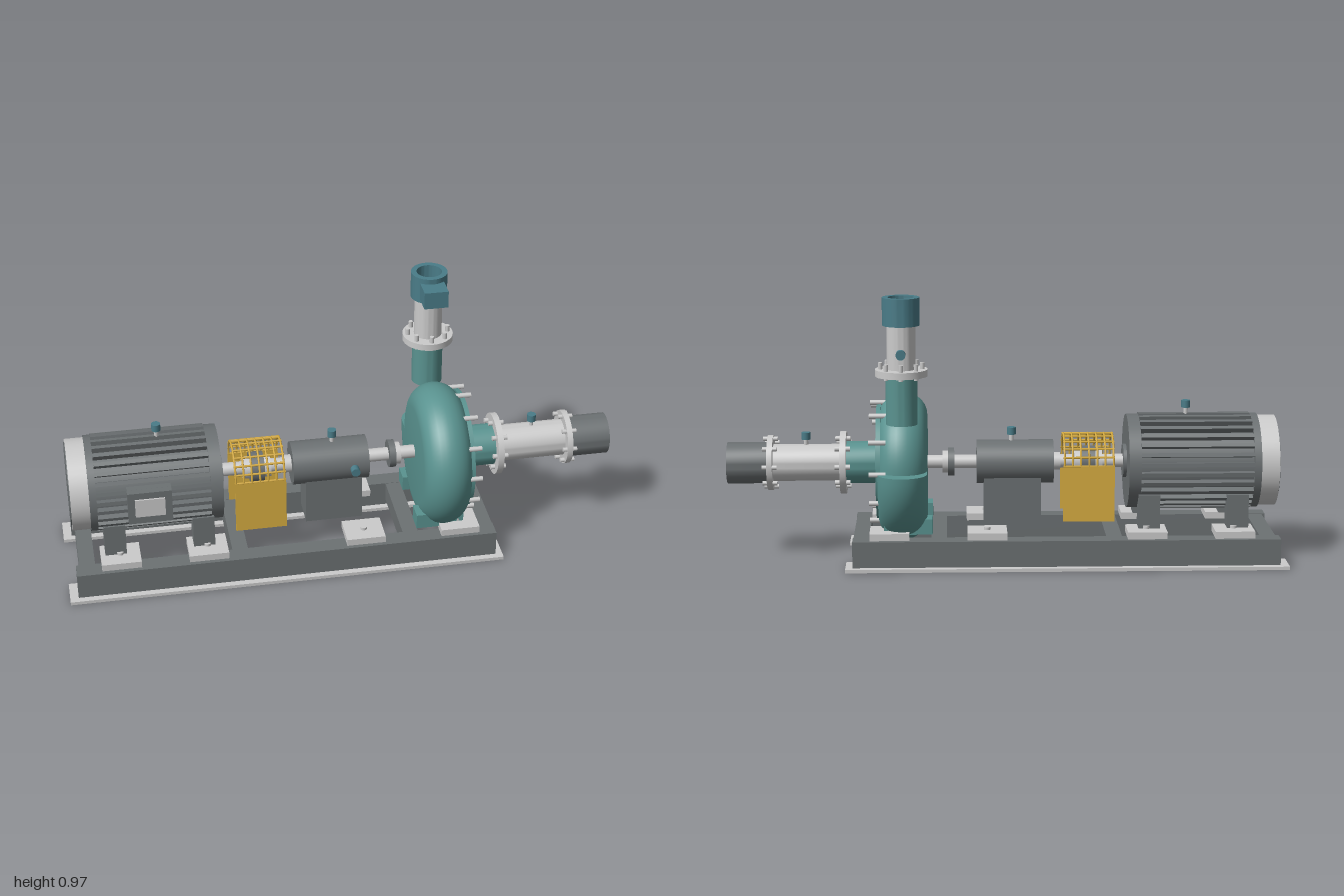
import * as THREE from 'three';
import { toCreasedNormals } from 'three/addons/utils/BufferGeometryUtils.js';

const AY = 0.345, AZ = 0.022; // height and depth of the shaft axis
const mat = (color) => new THREE.MeshStandardMaterial({ color });

export function createModel() {
  const root = new THREE.Group();
  const light = mat(0xcccccc), dark = mat(0x6c7173), teal = mat(0x5a9390),
    blue = mat(0x4a7c88), yellow = mat(0xd9ae42);

  const add = (name, geo, m, x = 0, y = 0, z = 0) => {
    const mesh = new THREE.Mesh(geo, m);
    mesh.name = name;
    mesh.position.set(x, y, z);
    root.add(mesh);
    return mesh;
  };
  // box from its extents
  const box = (name, m, x0, x1, y0, y1, z0, z1) =>
    add(name, new THREE.BoxGeometry(x1 - x0, y1 - y0, z1 - z0), m,
      (x0 + x1) / 2, (y0 + y1) / 2, (z0 + z1) / 2);
  const cylX = (name, m, r, x0, x1, y = AY, z = AZ, seg = 40) => {
    const c = add(name, new THREE.CylinderGeometry(r, r, x1 - x0, seg), m, (x0 + x1) / 2, y, z);
    c.rotation.z = -Math.PI / 2;
    return c;
  };
  const cylY = (name, m, r, y0, y1, x, z, seg = 24) =>
    add(name, new THREE.CylinderGeometry(r, r, y1 - y0, seg), m, x, (y0 + y1) / 2, z);
  // hollow pipe, starting at the given point
  const tube = (ro, ri, len) => toCreasedNormals(new THREE.LatheGeometry(
    [[ro, 0], [ro, len], [ri, len], [ri, 0], [ro, 0]].map((p) => new THREE.Vector2(...p)), 48), 0.6);
  const pipeX = (name, m, ro, ri, x0, x1) => {
    add(name, tube(ro, ri, x1 - x0), m, x0, AY, AZ).rotation.z = -Math.PI / 2;
  };
  const pipeY = (name, m, ro, ri, y0, y1, x, z) => add(name, tube(ro, ri, y1 - y0), m, x, y0, z);
  // bolts on a circle about the shaft axis
  const boltsX = (name, n, R, r, x0, x1) => {
    for (let i = 0; i < n; i++) {
      const a = (i / n) * Math.PI * 2;
      cylX(name, light, r, x0, x1, AY + R * Math.sin(a), AZ + R * Math.cos(a), 10);
    }
  };
  const plug = (name, x, y, z) => {
    cylY(name + 'Stem', light, 0.008, y, y + 0.03, x, z, 12);
    cylY(name + 'Cap', blue, 0.016, y + 0.024, y + 0.05, x, z, 16);
  };

  // base frame: rails on sole strips with cross members
  for (const zc of [0.2125, -0.17]) {
    box('baseRail', dark, -0.97, 0.54, 0.011, 0.105, zc - 0.0325, zc + 0.0325);
    box('soleStrip', light, -1, 0.565, 0, 0.012, zc - 0.0555, zc + 0.0555);
  }
  for (const x of [-0.93, -0.385, 0.235, 0.51])
    box('crossMember', dark, x - 0.028, x + 0.028, 0.035, 0.104, -0.15, 0.19);

  // mounting pads with bolts
  for (const x of [-0.81, -0.5, 0.065, 0.41]) for (const s of [-1, 1]) {
    const z = AZ + s * 0.148;
    box('mountingPad', light, x - 0.07, x + 0.07, 0.105, 0.13, z - 0.06, z + 0.06);
    cylY('padBolt', light, 0.012, 0.13, 0.14, x, z, 12);
  }

  // motor
  cylX('motorBody', dark, 0.152, -0.89, -0.47);
  const fins = 30;
  for (let i = 0; i < fins; i++) {
    const a = (i / fins) * Math.PI * 2;
    const fin = add('coolingFin', new THREE.BoxGeometry(0.4, 0.03, 0.014), dark,
      -0.68, AY + 0.158 * Math.cos(a), AZ + 0.158 * Math.sin(a));
    fin.rotation.x = a;
  }
  cylX('motorFanCover', light, 0.163, -0.97, -0.9);
  cylX('motorEndDisc', dark, 0.152, -0.973, -0.96);
  cylX('motorRearRing', dark, 0.17, -0.905, -0.88);
  cylX('motorFrontBell', dark, 0.168, -0.48, -0.437);
  cylX('motorBearingCap', dark, 0.06, -0.445, -0.425);
  for (const x of [-0.825, -0.51]) for (const s of [-1, 1]) {
    const z = AZ + s * 0.115;
    box('motorFoot', dark, x - 0.038, x + 0.038, 0.13, 0.25, z - 0.035, z + 0.035);
  }
  box('terminalBox', dark, -0.775, -0.62, 0.28, 0.405, 0.14, 0.21);
  box('terminalCover', light, -0.75, -0.645, 0.31, 0.38, 0.2, 0.216);
  plug('motorPlug', -0.65, 0.515, AZ);

  // shaft, coupling and collars
  cylX('shaft', light, 0.024, -0.45, 0.3);
  cylX('couplingHub', light, 0.04, -0.35, -0.25);
  cylX('couplingDisc', dark, 0.055, -0.325, -0.275);
  cylX('shaftCollar', light, 0.032, -0.2, -0.17);
  cylX('sealDisc', dark, 0.05, 0.18, 0.203);
  cylX('sealCollar', light, 0.04, 0.2, 0.222);

  // coupling guard: side plates and wire cage
  for (const s of [-1, 1])
    box('guardPlate', yellow, -0.39, -0.207, 0.145, AY, AZ + s * 0.1 - 0.003, AZ + s * 0.1 + 0.003);
  for (let i = 0; i < 7; i++) {
    const hoop = add('guardHoop', new THREE.TorusGeometry(0.1, 0.004, 6, 28, Math.PI), yellow,
      -0.386 + i * 0.029, AY, AZ);
    hoop.rotation.y = Math.PI / 2;
  }
  for (let i = 0; i <= 10; i++) {
    const a = (i / 10) * Math.PI;
    cylX('guardBar', yellow, 0.004, -0.39, -0.207, AY + 0.1 * Math.sin(a), AZ + 0.1 * Math.cos(a), 6);
  }

  // bearing housing
  cylX('bearingHousing', dark, 0.078, -0.175, 0.1);
  box('bearingPedestal', dark, -0.13, 0.075, 0.125, 0.3, AZ - 0.06, AZ + 0.06);
  plug('oilCap', -0.025, 0.42, AZ);
  const sight = cylY('sightPlug', blue, 0.016, 0, 0.04, 0.045, 0.1, 16);
  sight.position.set(0.045, AY, AZ + 0.085);
  sight.rotation.x = Math.PI / 2;

  // spiral volute casing: rounded section swept with growing radius
  const N = 80, w = 0.087, cx = 0.363, pos = [], idx = [];
  const section = (R) => {
    const pts = [[-w, 0]];
    for (let k = 0; k <= 14; k++) {
      const a = (k / 14 - 0.5) * Math.PI;
      pts.push([w * Math.sin(a), R - 0.08 + 0.08 * Math.cos(a)]);
    }
    return [...pts, [w, 0]];
  };
  const M = section(1).length;
  for (let i = 0; i <= N; i++) {
    const t = (i / N) * Math.PI * 2;
    for (const [x, r] of section(0.235 + 0.055 * i / N))
      pos.push(cx + x, AY + r * Math.sin(t), AZ - r * Math.cos(t));
  }
  for (let i = 0; i < N; i++) for (let j = 0; j < M - 1; j++) {
    const a = i * M + j, b = a + M;
    idx.push(a, b, a + 1, b, b + 1, a + 1);
  }
  // flat face closing the step of the spiral
  const centre = pos.length / 3;
  pos.push(cx, AY, AZ - 0.15);
  for (let j = 0; j < M - 1; j++) idx.push(centre, N * M + j + 1, N * M + j);
  const spiral = new THREE.BufferGeometry();
  spiral.setAttribute('position', new THREE.Float32BufferAttribute(pos, 3));
  spiral.setIndex(idx);
  add('voluteCasing', toCreasedNormals(spiral, 0.6), teal);
  cylX('casingCover', teal, 0.212, 0.44, 0.456, AY, AZ, 64);
  boltsX('casingBolt', 12, 0.217, 0.009, 0.42, 0.48);
  for (const s of [-1, 1]) {
    const z = AZ + s * 0.125;
    box('casingFoot', teal, 0.258, 0.43, 0.115, 0.17, z - 0.034, z + 0.034);
  }

  // suction line
  pipeX('suctionNeck', teal, 0.075, 0.058, 0.45, 0.567);
  pipeX('suctionFlange', light, 0.112, 0.056, 0.565, 0.587);
  boltsX('suctionBolt', 8, 0.087, 0.009, 0.55, 0.605);
  pipeX('suctionPipe', light, 0.066, 0.056, 0.585, 0.83);
  pipeX('inletFlange', light, 0.098, 0.056, 0.826, 0.846);
  boltsX('inletBolt', 8, 0.087, 0.008, 0.81, 0.862);
  pipeX('inletPipe', dark, 0.074, 0.061, 0.845, 0.99);
  plug('suctionPlug', 0.71, 0.405, AZ);
  // strainer slats inside the inlet
  cylX('strainerHub', dark, 0.03, 0.915, 0.925, AY, AZ, 6);
  for (let i = -5; i <= 5; i++) {
    const y = i * 0.011, h = Math.sqrt(0.062 ** 2 - y * y);
    box('strainerSlat', light, 0.94, 0.955, AY + y - 0.004, AY + y + 0.004, AZ - h, AZ + h);
  }

  // discharge line
  const dx = 0.362, dz = -0.179;
  pipeY('dischargeNeck', teal, 0.055, 0.044, 0.523, 0.695, dx, dz);
  pipeY('dischargeFlange', light, 0.091, 0.043, 0.693, 0.717, dx, dz);
  for (let i = 0; i < 8; i++) {
    const a = (i / 8) * Math.PI * 2;
    cylY('dischargeBolt', light, 0.008, 0.685, 0.74, dx + 0.073 * Math.sin(a), dz + 0.073 * Math.cos(a), 10);
  }
  pipeY('dischargePipe', light, 0.05, 0.042, 0.715, 0.872, dx, dz);
  pipeY('outletHead', blue, 0.065, 0.045, 0.87, 0.967, dx, dz);
  box('outletBox', blue, dx - 0.043, dx + 0.043, 0.885, 0.948, dz + 0.05, -0.053);
  const stem = cylY('ventStem', light, 0.008, 0, 0.04, dx, dz, 12);
  const cap = cylY('ventCap', blue, 0.017, 0, 0.022, dx, dz, 16);
  stem.position.set(dx, 0.78, -0.243);
  cap.position.set(dx, 0.78, -0.271);
  stem.rotation.x = cap.rotation.x = Math.PI / 2;

  return root;
}
